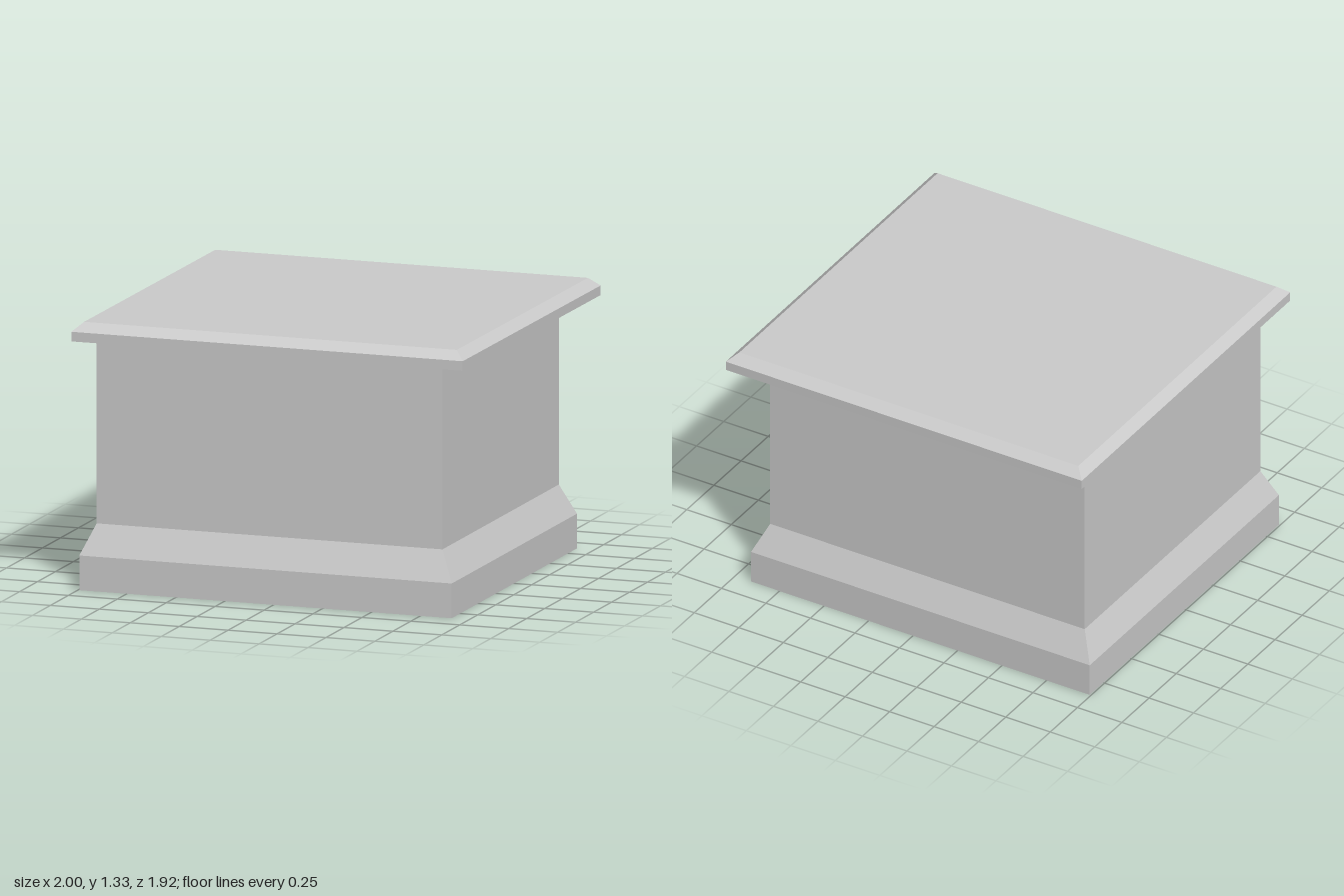
import * as THREE from 'three';

const material = new THREE.MeshStandardMaterial({ color: 0xcccccc, flatShading: true });

// Closed solid lofted through rectangles, each [y, x0, x1, z0, z1], bottom to top.
function loft(name, sections) {
  const rings = sections.map(([y, x0, x1, z0, z1]) => [
    [x0, y, z1], [x1, y, z1], [x1, y, z0], [x0, y, z0],
  ]);
  const points = [];
  const quad = (a, b, c, d) => points.push(...a, ...b, ...c, ...a, ...c, ...d);

  for (let i = 0; i < rings.length - 1; i++) {
    const low = rings[i], high = rings[i + 1];
    for (let k = 0; k < 4; k++) {
      const n = (k + 1) % 4;
      quad(low[k], low[n], high[n], high[k]);
    }
  }
  const bottom = rings[0], top = rings[rings.length - 1];
  quad(bottom[3], bottom[2], bottom[1], bottom[0]);
  quad(top[0], top[1], top[2], top[3]);

  const geometry = new THREE.BufferGeometry();
  geometry.setAttribute('position', new THREE.Float32BufferAttribute(points, 3));
  geometry.computeVertexNormals();
  const mesh = new THREE.Mesh(geometry, material);
  mesh.name = name;
  return mesh;
}

export function createModel() {
  const model = new THREE.Group();
  model.name = 'pedestal';

  // Plinth, sloped shoulder and upright walls, set slightly off-centre under the cap
  model.add(loft('body', [
    [0, -0.993, 0.91, -0.875, 0.867],
    [0.17, -0.993, 0.91, -0.875, 0.867],
    [0.32, -0.927, 0.84, -0.813, 0.805],
    [1.236, -0.927, 0.84, -0.813, 0.805],
  ]));

  // Overhanging slab with a bevelled upper edge, tipped very slightly to the back
  const cap = loft('cap', [
    [0, -1, 1, -0.96, 0.96],
    [0.047, -1, 1, -0.96, 0.96],
    [0.09, -0.952, 0.952, -0.912, 0.912],
  ]);
  cap.position.y = 1.234;
  cap.rotation.x = -0.003;
  model.add(cap);

  return model;
}
